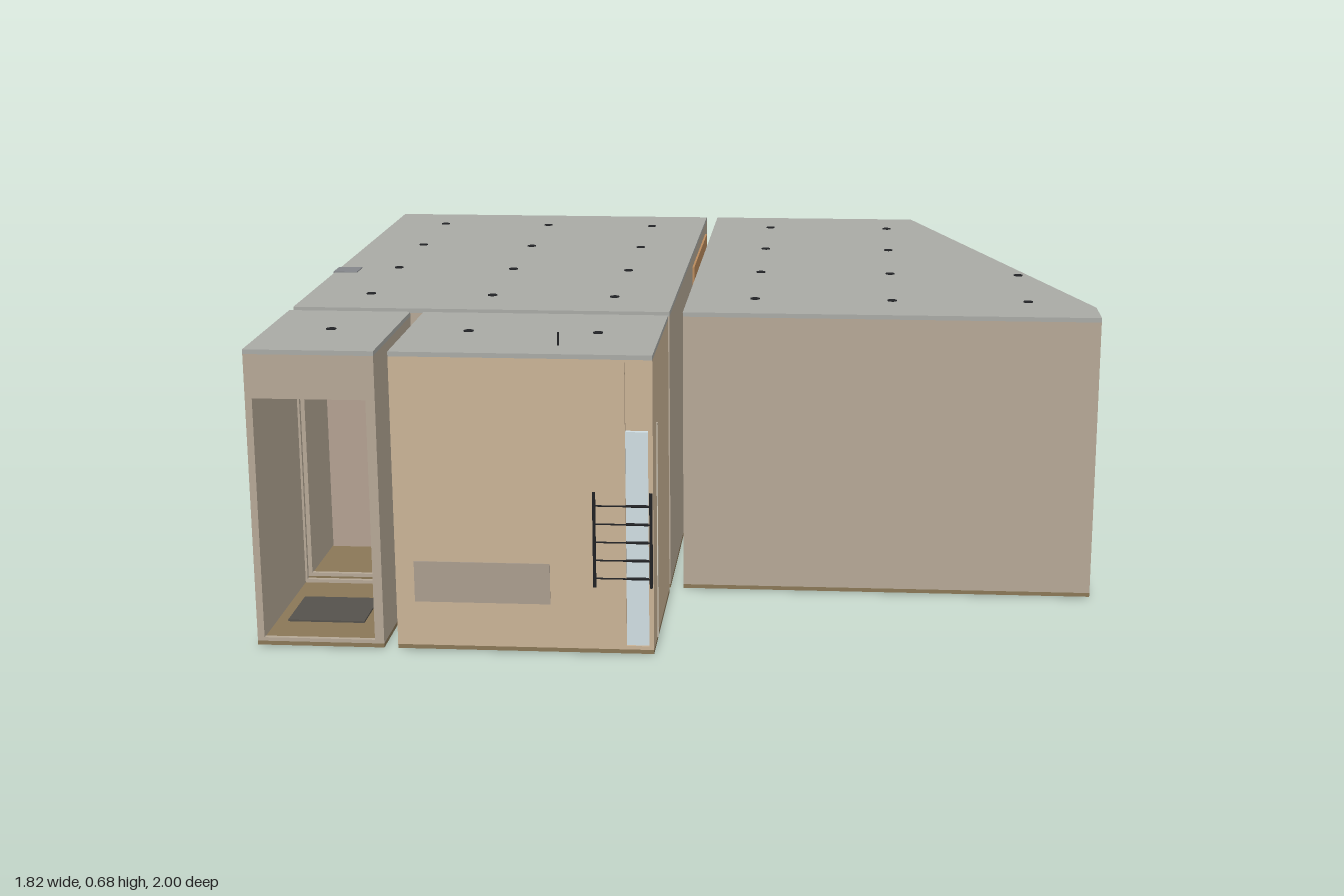
import * as THREE from 'three';

const H = 0.655, T = 0.01;
const WALL = 0xb5a896, TAN = 0xc9b396, ROOF = 0xa9aaa5, WOOD = 0x8a7757, DARK = 0x222326, BROWN = 0x74533b;
const mat = (color, side = THREE.FrontSide) => new THREE.MeshStandardMaterial({ color, side });

export function createModel() {
  const root = new THREE.Group();

  const add = (parent, name, geo, color, side) => {
    const m = new THREE.Mesh(geo, mat(color, side));
    m.name = name;
    parent.add(m);
    return m;
  };
  const group = (name, parent = root) => {
    const g = new THREE.Group();
    g.name = name;
    parent.add(g);
    return g;
  };
  // Box given by its minimum and maximum corners
  const box = (parent, name, color, x0, x1, y0, y1, z0, z1) => {
    const m = add(parent, name, new THREE.BoxGeometry(x1 - x0, y1 - y0, z1 - z0), color);
    m.position.set((x0 + x1) / 2, (y0 + y1) / 2, (z0 + z1) / 2);
    return m;
  };
  // Round or square bar between two points
  const bar = (parent, name, color, a, b, r, sides = 6) => {
    const p = new THREE.Vector3(...a), q = new THREE.Vector3(...b);
    const m = add(parent, name, new THREE.CylinderGeometry(r, r, p.distanceTo(q), sides), color);
    m.position.copy(p).add(q).multiplyScalar(0.5);
    m.quaternion.setFromUnitVectors(new THREE.Vector3(0, 1, 0), q.sub(p).normalize());
    return m;
  };
  const extrude = (shape, depth) => new THREE.ExtrudeGeometry(shape, { depth, bevelEnabled: false });
  const slab = (parent, name, color, pts, y, h) => {
    const shape = new THREE.Shape(pts.map(([x, z]) => new THREE.Vector2(x, -z)));
    add(parent, name, extrude(shape, h).rotateX(-Math.PI / 2), color).position.y = y;
  };
  const rectPath = (P, a, b, c, d) => new P([[a, c], [b, c], [b, d], [a, d]].map(p => new THREE.Vector2(...p)));

  // Room from floor corners, front left first, then front right and round;
  // holes[i] lists [start, end, bottom, top] along wall i
  const room = (name, color, pts, holes = {}) => {
    const g = group(name);
    slab(g, 'floor', WOOD, pts, 0.003, 0.009);
    slab(g, 'roof', ROOF, pts, H - T, T);
    pts.forEach((p, i) => {
      const q = pts[(i + 1) % pts.length], dx = q[0] - p[0], dz = q[1] - p[1], len = Math.hypot(dx, dz);
      const shape = rectPath(THREE.Shape, 0, len, 0.012, H - T);
      for (const h of holes[i] || []) shape.holes.push(rectPath(THREE.Path, ...h));
      const w = add(g, 'wall', extrude(shape, T).translate(0, 0, -T), color);
      w.position.set(p[0], 0, p[1]);
      w.rotation.y = Math.atan2(-dz, dx);
    });
    return g;
  };
  const rect = (x0, x1, z0, z1) => [[x0, z1], [x1, z1], [x1, z0], [x0, z0]];

  // Wavy curtain in two halves, hung between two floor points
  const curtain = (parent, a, b, y0, y1, waves) => {
    const len = Math.hypot(b[0] - a[0], b[1] - a[1]);
    const g = group('curtain', parent);
    g.position.set((a[0] + b[0]) / 2, (y0 + y1) / 2, (a[1] + b[1]) / 2);
    g.rotation.y = Math.atan2(a[1] - b[1], b[0] - a[0]);
    for (const s of [-1, 1]) {
      const w = len / 2 - 0.006;
      const geo = new THREE.PlaneGeometry(w, y1 - y0, waves * 4, 1);
      const p = geo.attributes.position;
      for (let i = 0; i < p.count; i++) p.setZ(i, 0.011 * Math.sin((p.getX(i) / w + 0.5) * waves * Math.PI * 2));
      geo.computeVertexNormals();
      add(g, 'curtainHalf', geo, 0xcccccc, THREE.DoubleSide).position.x = s * (w / 2 + 0.006);
    }
  };

  // Rooms
  const living = room('livingRoom', WALL, rect(-0.905, -0.05, -0.67, 0.58),
    { 0: [[0.015, 0.255, 0.02, 0.55]], 2: [[0.012, 0.843, 0.018, 0.575]] });
  curtain(living, [-0.06, -0.648], [-0.893, -0.648], 0.014, 0.58, 16);

  const slantA = [0.91, 0.47], slantB = [0.52, -0.67], slantL = Math.hypot(0.39, 1.14);
  const onSlant = (z, inset) => [0.52 + 0.39 * (z + 0.67) / 1.14 - inset, z + inset * 0.34];
  const along = z => (0.47 - z) / 1.14 * slantL;
  const bedroom = room('bedroom', WALL, [[-0.02, 0.58], [0.91, 0.58], slantA, slantB, [-0.02, -0.67]],
    { 2: [[along(0.04), along(-0.235), 0.22, 0.565]], 3: [[0.22, 0.49, 0.22, 0.565]] });
  curtain(bedroom, onSlant(0.05, 0.024), onSlant(-0.245, 0.024), 0.2, 0.58, 6);
  curtain(bedroom, [0.31, -0.648], [0.02, -0.648], 0.2, 0.58, 6);

  const hall = room('hall', WALL, rect(-0.905, -0.63, 0.615, 1),
    { 0: [[0.015, 0.255, 0.02, 0.55]], 2: [[0.02, 0.26, 0.02, 0.55]] });
  box(hall, 'doorMat', 0x55524c, -0.87, -0.7, 0, 0.016, 0.73, 0.88);

  const bath = room('bathroom', TAN, rect(-0.6, -0.05, 0.615, 1),
    { 0: [[0.492, 0.545, 0.02, 0.64]] });
  box(bath, 'mirrorPanel', 0xaa9d8e, -0.56, -0.27, 0.11, 0.2, 0.99, 1.002);
  box(bath, 'showerPanel', 0xcfdde2, -0.108, -0.055, 0.012, 0.49, 0.984, 0.995);
  box(bath, 'showerGlassEdge', 0xd8d0c0, -0.054, -0.048, 0.01, 0.49, 0.912, 0.918);
  bar(bath, 'showerPipe', DARK, [-0.255, 0.4, 0.92], [-0.255, 0.683, 0.92], 0.002);

  // Towel rack
  const rack = group('towelRack', bath);
  for (const x of [-0.175, -0.055]) bar(rack, 'post', DARK, [x, 0.15, 0.998], [x, 0.36, 0.998], 0.004);
  for (const y of [0.17, 0.21, 0.25, 0.29, 0.33]) bar(rack, 'rail', DARK, [-0.175, y, 0.998], [-0.055, y, 0.998], 0.003);

  // Ceiling lights showing through the roof
  const lamps = [[-0.765, 0.8], [-0.465, 0.8], [-0.185, 0.8], [0.76, 0.11], [0.76, 0.42]];
  for (const x of [-0.76, -0.475, -0.19, 0.135, 0.45]) for (const z of [-0.515, -0.2, 0.11, 0.425]) lamps.push([x, z]);
  const lights = group('ceilingLights');
  for (const [x, z] of lamps)
    add(lights, 'light', new THREE.CylinderGeometry(0.011, 0.011, 0.018, 16), DARK).position.set(x, H - 0.007, z);

  // Kitchen along the left-hand wall
  const kitchen = group('kitchen', living);
  box(kitchen, 'plinth', 0x111111, -0.907, -0.77, 0, 0.03, -0.32, 0.22);
  box(kitchen, 'baseCabinet', 0xb09d8c, -0.894, -0.755, 0.03, 0.2, -0.32, 0.22);
  box(kitchen, 'splashback', TAN, -0.908, -0.89, 0.2, 0.36, -0.32, 0.22);
  box(kitchen, 'extractorDuct', 0x84868a, -0.908, -0.85, 0.36, 0.657, 0.12, 0.18);
  box(kitchen, 'tallCabinet', 0xb3a091, -0.893, -0.75, 0, 0.55, 0.22, 0.36);

  // Living room furniture
  const sofa = group('sofa', living);
  box(sofa, 'seat', 0x55564e, -0.23, -0.062, 0, 0.09, -0.48, 0);
  box(sofa, 'back', 0x55564e, -0.11, -0.062, 0.09, 0.19, -0.48, 0);
  box(living, 'wallPanel', 0xb98a5c, -0.055, -0.045, 0.03, 0.62, -0.6, -0.12);
  const disc = (parent, name, color, x, z, r, h) =>
    add(parent, name, new THREE.CylinderGeometry(r, r, h, 28), color).position.set(x, h / 2, z);
  disc(living, 'roundTable', 0x8a8a88, -0.39, -0.03, 0.065, 0.1);
  disc(living, 'sideStool', 0x1c1c1c, -0.13, 0.09, 0.04, 0.12);
  disc(bedroom, 'floorLampBase', 0x1c1c1c, 0.46, -0.61, 0.036, 0.015);

  // Bed reaching out through the slanted wall
  const bed = group('bed', bedroom);
  box(bed, 'foot', 0x1a1a1a, 0.28, 0.73, 0, 0.012, -0.34, 0.02);
  box(bed, 'lowerBase', 0x9b9080, 0.28, 0.72, 0.012, 0.024, -0.24, 0.045);
  box(bed, 'platform', 0xa3978a, 0.27, 0.762, 0.03, 0.05, -0.395, 0.04);
  box(bed, 'slats', 0x75695c, 0.3, 0.74, 0.05, 0.075, -0.355, -0.01);
  box(bed, 'mattress', 0x6f7160, 0.3, 0.715, 0.075, 0.155, -0.355, 0.02);
  box(bed, 'headRail', 0x6f7160, 0.722, 0.745, 0.075, 0.15, -0.355, 0.02);
  box(bedroom, 'wardrobe', 0x6a645c, 0.32, 0.895, 0, 0.55, 0.46, 0.568);

  // Terrace deck
  const terrace = group('terrace');
  box(terrace, 'deck', WOOD, -0.885, -0.03, 0, 0.004, -1, -0.755);

  // Folding table
  const table = group('foldingTable', terrace);
  table.position.set(-0.615, 0, -0.872);
  for (let i = 0; i < 7; i++) {
    const x = -0.064 + i * 0.0213;
    box(table, 'slat', 0x8a6245, x - 0.0098, x + 0.0098, 0.162, 0.169, -0.066, 0.066);
  }
  for (const s of [-1, 1]) {
    box(table, 'endRail', BROWN, -0.074, 0.074, 0.158, 0.168, s * 0.07 - 0.005, s * 0.07 + 0.005);
    for (const d of [-1, 1]) bar(table, 'leg', DARK, [-0.06 * d, 0.004, s * 0.06], [0.06 * d, 0.16, s * 0.06], 0.0035);
  }

  // Folding chairs, facing local +x
  const chair = (x, z, turn) => {
    const g = group('foldingChair', terrace);
    g.position.set(x, 0, z);
    g.rotation.y = turn;
    for (const s of [-0.038, 0.038]) {
      bar(g, 'longLeg', DARK, [0.045, 0.004, s], [-0.055, 0.19, s], 0.0035);
      bar(g, 'shortLeg', DARK, [-0.045, 0.004, s * 0.86], [0.035, 0.096, s * 0.86], 0.0035);
    }
    for (let i = 0; i < 5; i++) {
      const c = -0.024 + i * 0.015;
      box(g, 'seatSlat', BROWN, c - 0.0055, c + 0.0055, 0.095, 0.1, -0.042, 0.042);
    }
    for (let i = 0; i < 3; i++) {
      const b = box(g, 'backSlat', BROWN, -0.003, 0.003, -0.007, 0.007, -0.046, 0.046);
      b.position.set(-0.041 - i * 0.0085, 0.15 + i * 0.017, 0);
      b.rotation.z = 0.46;
    }
  };
  chair(-0.742, -0.872, -0.12);
  chair(-0.498, -0.89, Math.PI + 0.4);

  // Planter with grass
  const planter = group('planter', terrace);
  box(planter, 'trough', 0x3f4246, -0.26, -0.07, 0.004, 0.112, -0.963, -0.88);
  let seed = 7;
  const rnd = () => (seed = (seed * 16807) % 2147483647) / 2147483647;
  for (let i = 0; i < 42; i++) {
    const x = -0.245 + rnd() * 0.16, z = -0.95 + rnd() * 0.055, h = 0.06 + rnd() * 0.075;
    bar(planter, 'grassBlade', 0x35352c, [x, 0.108, z], [x + (rnd() - 0.5) * 0.06, 0.112 + h, z + (rnd() - 0.5) * 0.08], 0.0017, 4);
  }
  return root;
}
